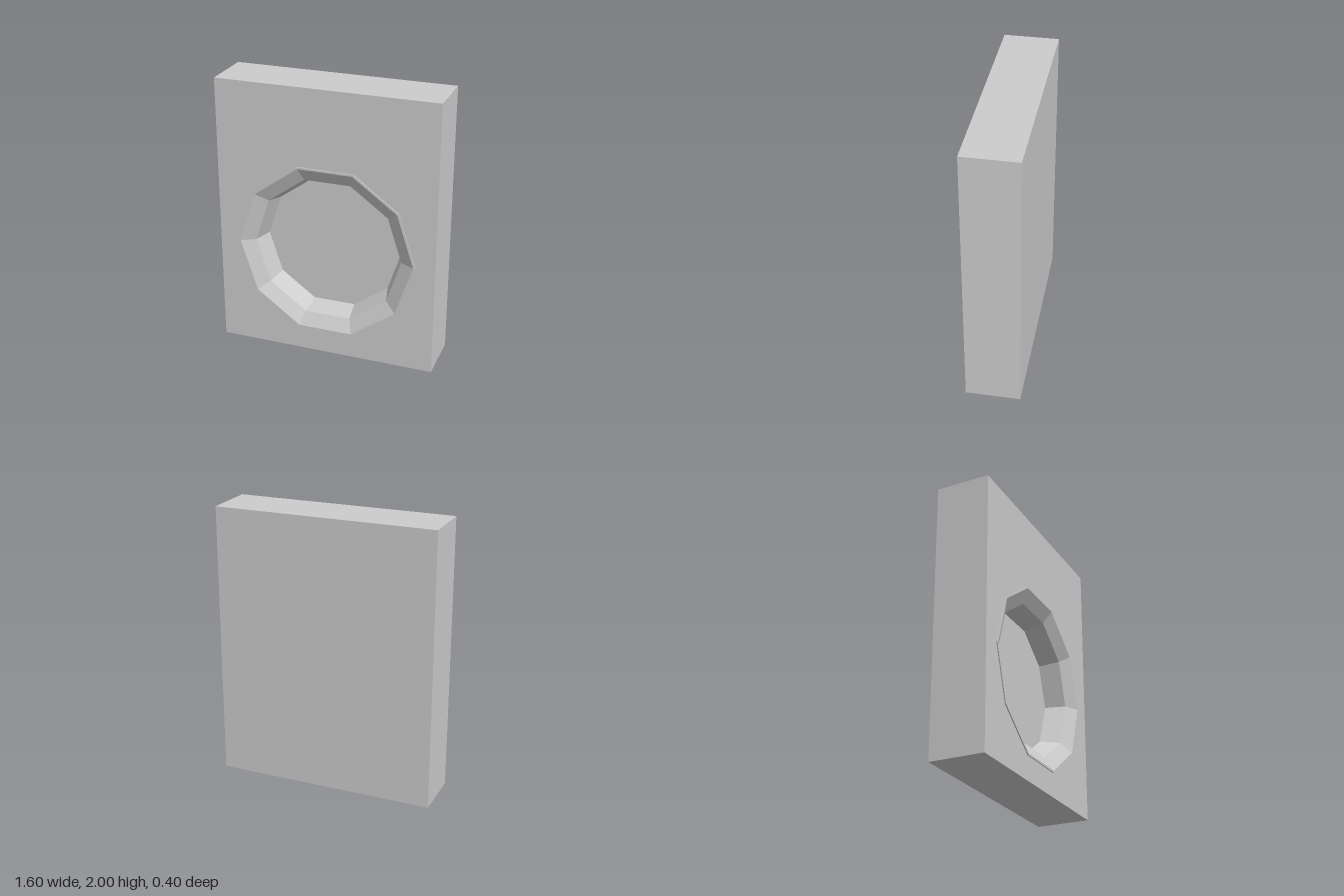
import * as THREE from 'three';

const SIDES = 10;
const RIM = 0.66;        // corner radius of the raised rim
const FRONT = 0.192;     // front face of the slab
const CENTRE_Y = 0.803;  // height of the recess centre

export function createModel() {
  const group = new THREE.Group();
  const material = new THREE.MeshStandardMaterial({ color: 0xcccccc, flatShading: true });
  const add = (name, geometry) => {
    const mesh = new THREE.Mesh(geometry, material);
    mesh.name = name;
    group.add(mesh);
    return mesh;
  };

  // Slab: a box with its front side left open for the recess
  const slab = new THREE.BoxGeometry(1.6, 2, FRONT + 0.2);
  const index = Array.from(slab.index.array);
  index.splice(24, 6);
  slab.setIndex(index);
  slab.clearGroups();
  slab.translate(0, 1, (FRONT - 0.2) / 2);
  add('slab', slab);

  // Front face with a ten-sided opening
  const face = new THREE.Shape([[-0.8, 0], [0.8, 0], [0.8, 2], [-0.8, 2]].map(([x, y]) => new THREE.Vector2(x, y)));
  const opening = [];
  for (let i = 0; i < SIDES; i++) {
    const a = -i * 2 * Math.PI / SIDES;
    opening.push(new THREE.Vector2(RIM * Math.cos(a), CENTRE_Y + RIM * Math.sin(a)));
  }
  face.holes.push(new THREE.Path(opening));
  add('frontFace', new THREE.ShapeGeometry(face).translate(0, 0, FRONT));

  // Recess: raised rim, shallow bevel, steep wall and flat floor
  const profile = [[RIM, FRONT], [RIM, 0.2], [0.645, 0.2], [0.545, 0.145], [0.503, 0], [0, 0]]
    .map(([r, z]) => new THREE.Vector2(r, z));
  const recess = new THREE.LatheGeometry(profile, SIDES, Math.PI / 2);
  recess.rotateX(Math.PI / 2).translate(0, CENTRE_Y, 0);
  add('recess', recess);

  return group;
}
